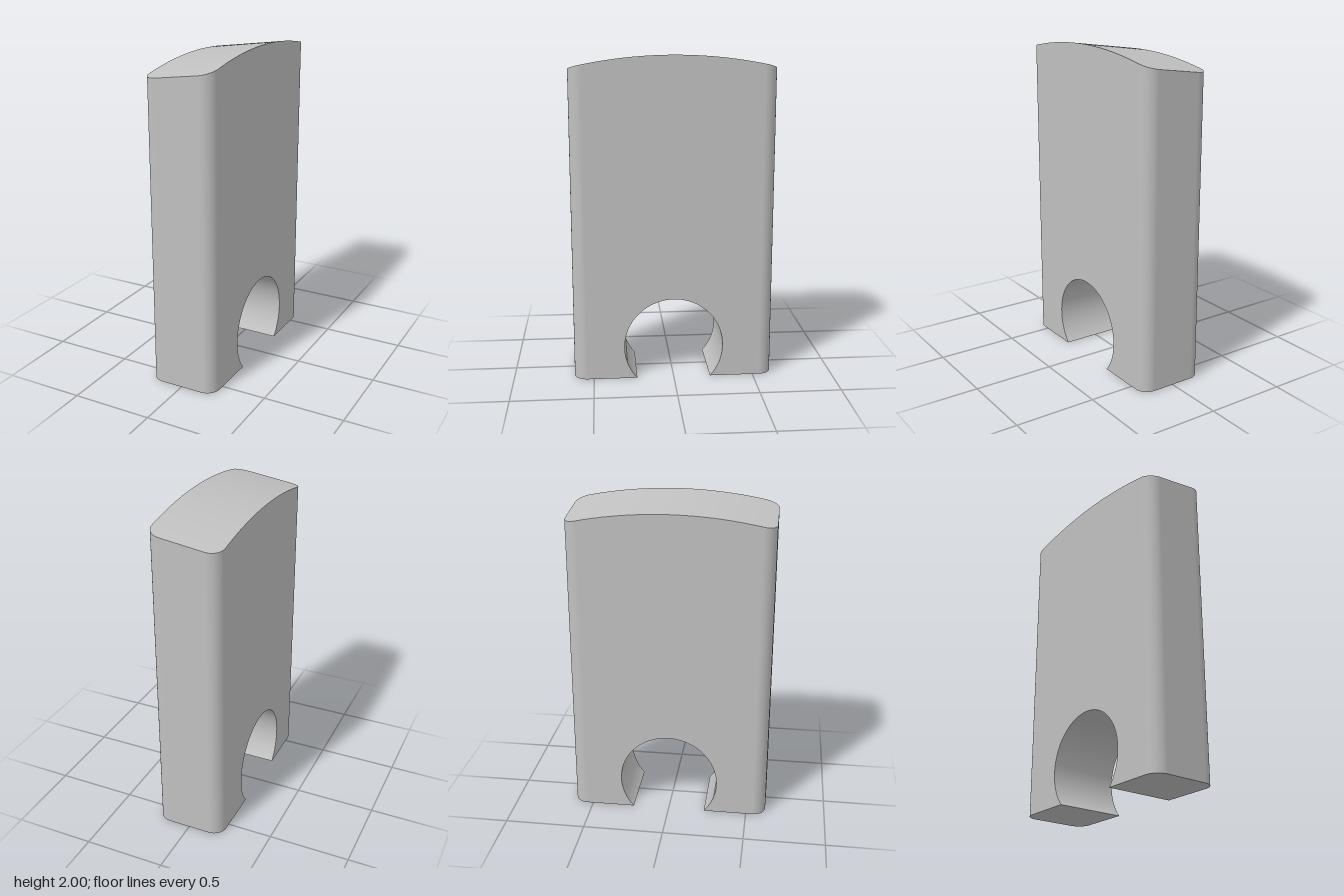
import * as THREE from 'three';
import { ParametricGeometry } from 'three/addons/geometries/ParametricGeometry.js';

const W = 0.218, D = 0.622, R = 0.082;      // half width, half depth, corner radius
const BORE_Y = 0.204, BORE_R = 0.307;       // notch through the base
const CROWN_R = 2.75, SLOPE = 0.06 / (2 * W);
const ARC = 10, MID = 32;                   // segments per corner and along the crown
const zc = D - R, xc = W - R;
const foot = Math.sqrt(BORE_R ** 2 - BORE_Y ** 2);
const low = Math.asin(BORE_Y / BORE_R);

// Crowned top that also slopes down toward -x
const topY = (x, z) => 2 - SLOPE * (W - x) - (CROWN_R - Math.sqrt(CROWN_R ** 2 - z * z));

// Plan path around the front end: corner, straight, corner
function endPath(t) {
  const k = t * (2 * ARC + 1);
  if (k > ARC && k < ARC + 1) return [xc * (2 * (k - ARC) - 1), D];
  const left = k <= ARC;
  const a = (left ? k : 2 * ARC + 1 - k) / ARC * Math.PI / 2;
  return [(left ? -1 : 1) * (xc + R * Math.cos(a)), zc + R * Math.sin(a)];
}

// Half width and z at a station running from the front to the back
function station(t) {
  const k = t * (2 * ARC + MID);
  if (k >= ARC && k <= ARC + MID) return [W, zc * (1 - 2 * (k - ARC) / MID)];
  const front = k < ARC;
  const a = (front ? ARC - k : k - ARC - MID) / ARC * Math.PI / 2;
  return [xc + R * Math.cos(a), (front ? 1 : -1) * (zc + R * Math.sin(a))];
}

export function createModel() {
  const group = new THREE.Group();
  const grey = new THREE.MeshStandardMaterial({ color: 0xc0c0c0 });
  grey.name = 'grey';
  const add = (name, geometry) => {
    const mesh = new THREE.Mesh(geometry, grey);
    mesh.name = name;
    group.add(mesh);
  };

  // Top face
  const top = new ParametricGeometry((u, v, p) => {
    const [w, z] = station(v);
    const x = w * (2 * u - 1);
    p.set(x, topY(x, z), z);
  }, 1, 2 * ARC + MID);
  top.computeVertexNormals();
  add('crownedTop', top);

  // Rounded end walls and the feet beneath them
  for (const s of [1, -1]) {
    const label = s > 0 ? 'front' : 'back';
    add(label + 'Wall', new ParametricGeometry((u, v, p) => {
      const [x, z] = endPath(u);
      p.set(s * x, v * topY(s * x, z), s * z);
    }, 2 * ARC + 1, 1));

    const sole = new THREE.Shape();
    sole.moveTo(W, foot);
    for (let i = 2 * ARC + 1; i >= 0; i--) sole.lineTo(...endPath(i / (2 * ARC + 1)));
    sole.lineTo(-W, foot);
    const soleGeometry = new THREE.ShapeGeometry(sole).rotateX(Math.PI / 2);
    if (s < 0) soleGeometry.rotateY(Math.PI);
    add(label + 'Sole', soleGeometry);
  }

  // Flat broad sides with the round notch
  for (const s of [1, -1]) {
    const side = new THREE.Shape();
    side.moveTo(foot, 0);
    side.lineTo(zc, 0);
    for (let i = 0; i <= MID; i++) {
      const z = zc * (1 - 2 * i / MID);
      side.lineTo(z, topY(s * W, z));
    }
    side.lineTo(-zc, 0);
    side.lineTo(-foot, 0);
    side.absarc(0, BORE_Y, BORE_R, Math.PI + low, -low, true);
    add(s > 0 ? 'leftSide' : 'rightSide',
      new THREE.ShapeGeometry(side, 64).rotateY(s * Math.PI / 2).translate(s * W, 0, 0));
  }

  // Inner surface of the notch
  add('notch', new ParametricGeometry((u, v, p) => {
    const a = Math.PI + low - v * (Math.PI + 2 * low);
    p.set(W * (2 * u - 1), BORE_Y + BORE_R * Math.sin(a), BORE_R * Math.cos(a));
  }, 1, 128));

  return group;
}
